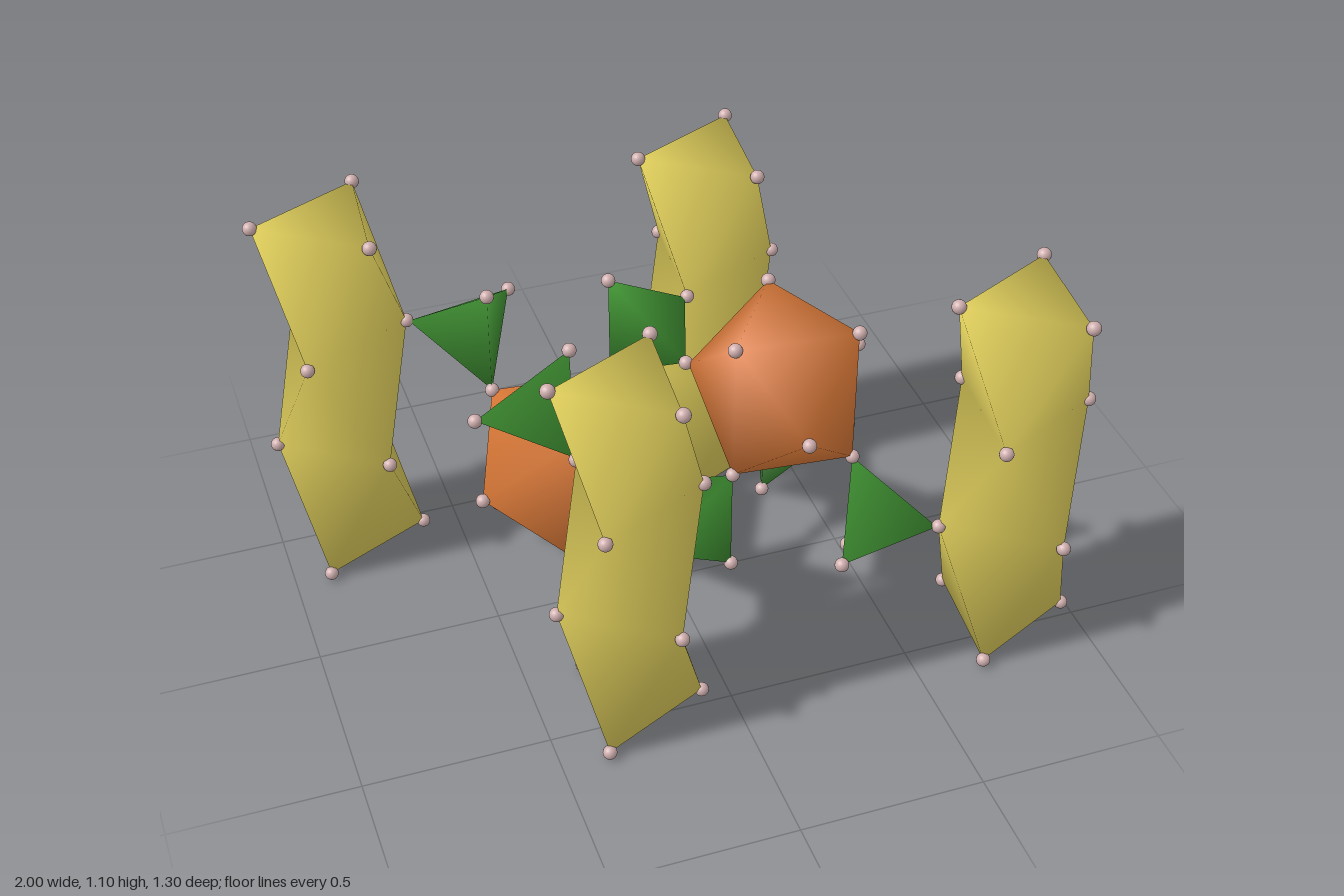
import * as THREE from 'three';
import { mergeVertices } from 'three/addons/utils/BufferGeometryUtils.js';
import { ConvexGeometry } from 'three/addons/geometries/ConvexGeometry.js';

const MID = 0.55;     // mid height of the cell
const STEP = 0.3535;  // spacing of the atom layers

const paint = (color) => new THREE.MeshStandardMaterial({ color });
const yellow = paint(0xe0cf5c);
const orange = paint(0xdc7a38);
const green = paint(0x3f9032);
const pink = paint(0xcfaeae);

// Point at a radius and angle (degrees, from +x towards +z) around a centre
function polar(cx, cz, r, deg, y) {
  const a = THREE.MathUtils.degToRad(deg);
  return new THREE.Vector3(cx + r * Math.cos(a), y, cz + r * Math.sin(a));
}

// Smooth-shaded convex solid through a few corner points
function solid(points) {
  const g = new ConvexGeometry(points);
  g.deleteAttribute('normal');
  const m = mergeVertices(g, 1e-4);
  m.computeVertexNormals();
  return m;
}

// Column of three face-sharing octahedra: triangles turned 60 degrees per layer
function columnGeometry(points) {
  const index = [0, 1, 2, 11, 10, 9];
  for (let l = 0; l < 3; l++) {
    for (let k = 0; k < 3; k++) {
      const a = l * 3 + k, b = l * 3 + (k + 1) % 3;
      index.push(a, a + 3, b, b, a + 3, b + 3);
    }
  }
  const g = new THREE.BufferGeometry().setFromPoints(points);
  g.setIndex(index);
  g.computeVertexNormals();
  return g;
}

export function createModel() {
  const model = new THREE.Group();
  model.name = 'crystalStructure';
  const atoms = [];

  // Shared corners get only one atom
  function add(name, geometry, material, points) {
    const mesh = new THREE.Mesh(geometry, material);
    mesh.name = name;
    model.add(mesh);
    for (const p of points) {
      if (!atoms.some((q) => q.distanceTo(p) < 0.04)) atoms.push(p);
    }
  }

  // Four yellow octahedron columns
  for (const [x, z] of [[-0.79, -0.459], [0.263, -0.459], [-0.263, 0.453], [0.79, 0.453]]) {
    const points = [];
    for (let l = 0; l < 4; l++) {
      for (let k = 0; k < 3; k++) {
        points.push(polar(x, z, 0.191, 5 + 60 * l + 120 * k, MID + (l - 1.5) * STEP));
      }
    }
    add('octahedronColumn', columnGeometry(points), yellow, points);
  }

  // Two inverted halves, each an orange capped prism with three green tetrahedra
  for (const s of [1, -1]) {
    const at = (r, deg, y) => polar(-0.264 * s, -0.155 * s, r * s, deg, y);
    const prismY = MID - s * STEP / 2;
    const tetraY = MID + s * STEP / 2;

    const prism = [];
    for (let k = 0; k < 3; k++) {
      const turn = 120 * k;
      prism.push(at(0.188, turn - 24.5, prismY - 0.2), at(0.188, turn - 24.5, prismY + 0.2));
      prism.push(at(0.266, turn + 38, prismY));
    }
    add('cappedPrism', solid(prism), orange, prism);

    for (let k = 0; k < 3; k++) {
      const turn = 120 * k;
      const tetra = [
        at(0.188, turn - 24.5, tetraY - 0.152),
        at(0.188, turn - 24.5, tetraY + 0.152),
        at(0.435, turn - 19.5, tetraY),
        at(0.343, turn + 24, tetraY),
      ];
      add('tetrahedron', solid(tetra), green, tetra);
    }
  }

  // Small spheres on every corner
  const ball = new THREE.SphereGeometry(0.019, 20, 14);
  const atomGroup = new THREE.Group();
  atomGroup.name = 'cornerAtoms';
  for (const p of atoms) {
    const atom = new THREE.Mesh(ball, pink);
    atom.name = 'atom';
    atom.position.copy(p);
    atomGroup.add(atom);
  }
  model.add(atomGroup);
  return model;
}
